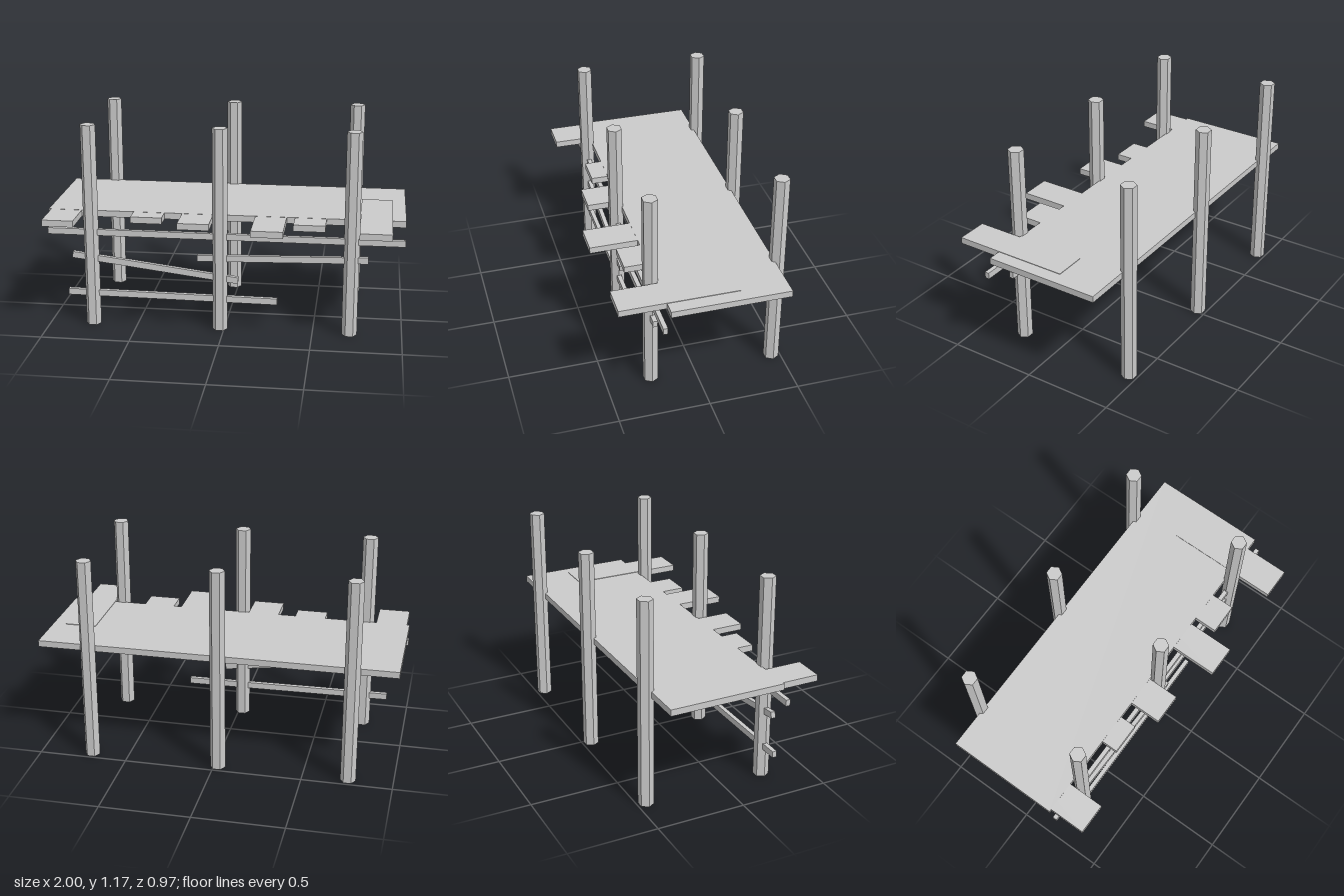
import * as THREE from 'three';

export function createModel() {
  const group = new THREE.Group();
  const mat = new THREE.MeshStandardMaterial({ color: 0xcccccc, flatShading: true });
  const openMat = new THREE.MeshStandardMaterial({ color: 0xcccccc, flatShading: true, side: THREE.DoubleSide });

  const add = (name, geometry, x, y, z, material = mat, parent = group) => {
    const mesh = new THREE.Mesh(geometry, material);
    mesh.name = name;
    mesh.position.set(x, y, z);
    parent.add(mesh);
    return mesh;
  };

  // Six hexagonal posts, capped on top and open underneath
  const H = 1.166, R = 0.043;
  const shaft = new THREE.CylinderGeometry(R, R, H, 6, 1, true).rotateY(Math.PI / 2);
  const cap = new THREE.CircleGeometry(R, 6).rotateX(-Math.PI / 2);
  for (const z of [-0.45, 0.25]) {
    for (const x of [-0.753, -0.023, 0.707]) {
      const post = new THREE.Group();
      post.name = z > 0 ? 'frontPost' : 'backPost';
      post.position.set(x, 0, z);
      add('postShaft', shaft, 0, H / 2, 0, openMat, post);
      add('postCap', cap, 0, H, 0, mat, post);
      group.add(post);
    }
  }

  // Main deck slab
  const T = 0.036, deckY = 0.647;
  add('deck', new THREE.BoxGeometry(2, T, 0.65), 0, deckY, -0.105);

  // Uneven planks jutting past the front edge: [centre x, front z, height offset]
  const planks = [
    [-0.898, 0.43, -0.001], [-0.427, 0.315, -0.001], [-0.152, 0.402, -0.001],
    [0.258, 0.487, -0.001], [0.478, 0.352, -0.001], [0.838, 0.475, 0.003],
  ];
  const plankGeo = new THREE.BoxGeometry(0.175, T, 0.65);
  for (const [x, front, dy] of planks) add('plank', plankGeo, x, deckY + dy, front - 0.325);

  // Crooked rails through the front posts: [x1, y1, x2, y2]
  const rails = [
    [-1, 0.548, 1, 0.548],
    [-0.862, 0.412, 0.08, 0.294],
    [-0.15, 0.418, 0.802, 0.442],
    [-0.892, 0.188, 0.3, 0.178],
  ];
  for (const [x1, y1, x2, y2] of rails) {
    const geo = new THREE.BoxGeometry(Math.hypot(x2 - x1, y2 - y1), 0.036, 0.025);
    add('rail', geo, (x1 + x2) / 2, (y1 + y2) / 2, 0.248).rotation.z = Math.atan2(y2 - y1, x2 - x1);
  }
  return group;
}
